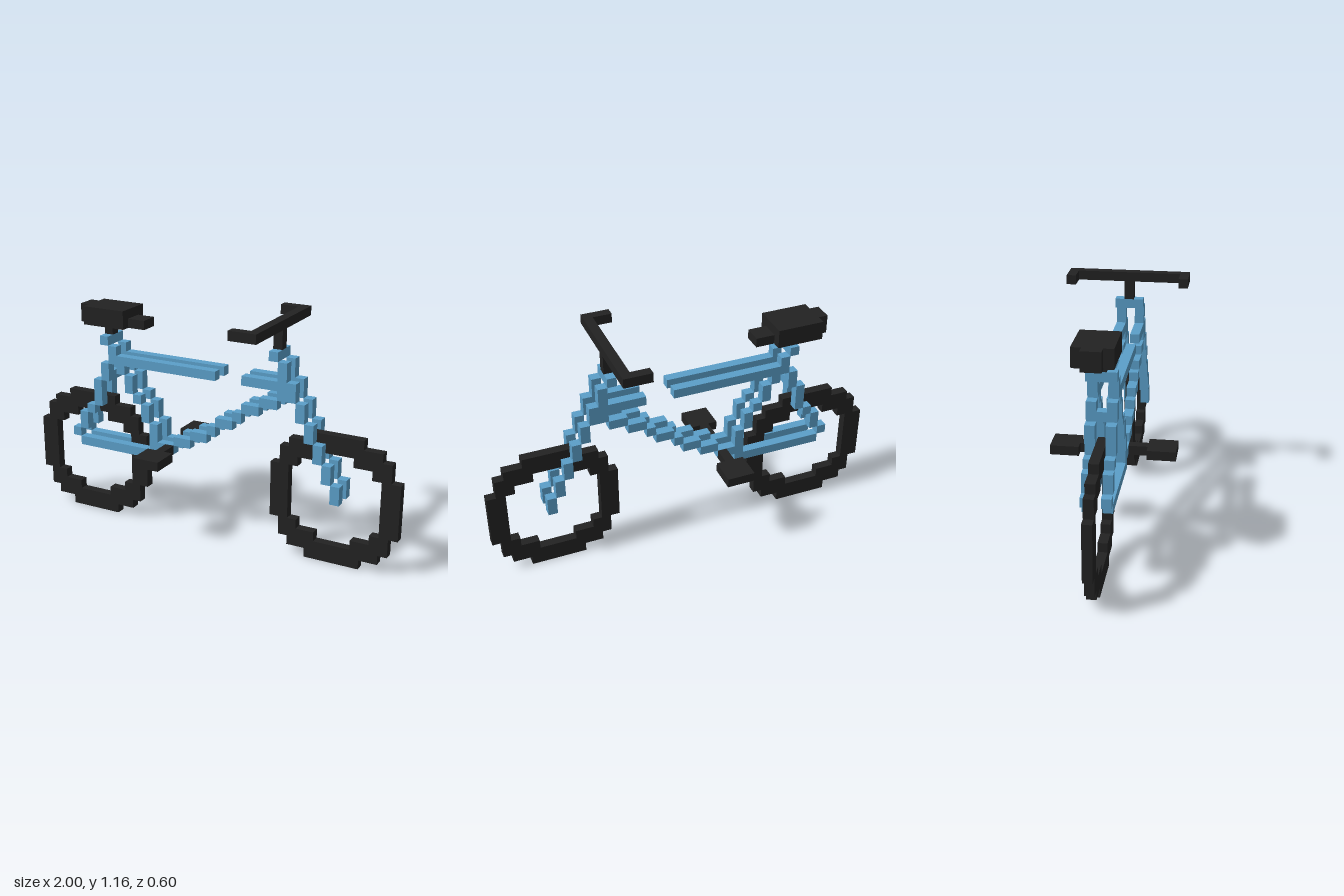
import * as THREE from 'three';

const U = 2 / 43; // one block

const blue = new THREE.MeshStandardMaterial({ color: 0x5b9fc9 });
blue.name = 'frameBlue';
const black = new THREE.MeshStandardMaterial({ color: 0x222222 });
black.name = 'rubberBlack';

// Box filling inclusive block ranges: i along x (0-42), j up (0-24), k along z (-6..6)
function block(parent, name, mat, i0, i1, j0, j1, k0, k1) {
  const geo = new THREE.BoxGeometry((i1 - i0 + 1) * U, (j1 - j0 + 1) * U, (k1 - k0 + 1) * U);
  const mesh = new THREE.Mesh(geo, mat);
  mesh.position.set(-1 + ((i0 + i1 + 1) / 2) * U, ((j0 + j1 + 1) / 2) * U, ((k0 + k1) / 2) * U);
  mesh.name = name;
  parent.add(mesh);
}

function part(parent, name) {
  const g = new THREE.Group();
  g.name = name;
  parent.add(g);
  return g;
}

// Blocky ring, 14 blocks across: [first row, last row, outer start, hole start]
function wheel(parent, name, i0) {
  const g = part(parent, name);
  const rows = [[0, 0, 4, 7], [1, 1, 2, 7], [2, 2, 1, 5], [3, 3, 1, 3], [4, 9, 0, 2],
    [10, 10, 1, 3], [11, 11, 1, 5], [12, 12, 2, 7], [13, 13, 4, 7]];
  for (const [j0, j1, outer, hole] of rows) {
    if (hole === 7) {
      block(g, 'tyre', black, i0 + outer, i0 + 13 - outer, j0, j1, 0, 0);
    } else {
      block(g, 'tyre', black, i0 + outer, i0 + hole - 1, j0, j1, 0, 0);
      block(g, 'tyre', black, i0 + 14 - hole, i0 + 13 - outer, j0, j1, 0, 0);
    }
  }
}

// Stepped tubes as runs [i0, i1, j0, j1], doubled on both sides of the wheels
const tubes = {
  fork: [[36, 36, 7, 8], [35, 35, 9, 10], [34, 34, 11, 12], [33, 33, 13, 14], [32, 32, 15, 16]],
  headTube: [[30, 31, 17, 18], [30, 30, 19, 20]],
  topTube: [[11, 22, 18, 18], [26, 29, 18, 18]],
  downTube: [[16, 17, 9, 9], [18, 19, 10, 10], [20, 21, 11, 11], [22, 22, 12, 12],
    [23, 24, 13, 13], [25, 25, 14, 14], [26, 27, 15, 15], [28, 29, 16, 16]],
  seatTube: [[9, 9, 20, 20], [10, 10, 18, 19], [11, 11, 17, 17], [12, 12, 15, 16],
    [13, 13, 14, 14], [14, 14, 12, 13], [15, 15, 9, 11]],
  seatStay: [[9, 9, 16, 17], [8, 8, 13, 15], [7, 7, 12, 12], [6, 6, 10, 11], [5, 5, 9, 9]],
  chainStay: [[6, 15, 8, 8]],
};

export function createModel() {
  const bike = new THREE.Group();
  bike.name = 'bicycle';

  wheel(bike, 'rearWheel', 0);
  wheel(bike, 'frontWheel', 29);

  // Frame
  const frame = part(bike, 'frame');
  for (const [name, runs] of Object.entries(tubes)) {
    const tube = part(frame, name);
    for (const k of [-1, 1]) {
      for (const [i0, i1, j0, j1] of runs) block(tube, name + 'Step', blue, i0, i1, j0, j1, k, k);
    }
  }
  // Bridges between the two sides
  block(frame, 'headsetBridge', blue, 29, 29, 21, 21, -1, 1);
  block(frame, 'seatClampBridge', blue, 9, 9, 20, 20, 0, 0);
  block(frame, 'stayBridge', blue, 9, 9, 16, 16, 0, 0);
  block(frame, 'bottomBridge', blue, 15, 15, 8, 8, 0, 0);

  // Saddle
  const saddle = part(bike, 'saddle');
  block(saddle, 'seatPost', black, 9, 9, 21, 21, 0, 0);
  block(saddle, 'saddleBody', black, 7, 11, 22, 23, -2, 1);
  block(saddle, 'saddleBack', black, 6, 6, 22, 23, -1, 0);
  block(saddle, 'saddleNose', black, 12, 13, 22, 22, -1, 0);

  // Handlebar
  const bar = part(bike, 'handlebar');
  block(bar, 'stem', black, 29, 29, 22, 23, 0, 0);
  block(bar, 'crossbar', black, 29, 29, 24, 24, -6, 6);
  for (const k of [-6, 6]) block(bar, 'grip', black, 27, 28, 24, 24, k, k);

  // Pedals
  const pedals = part(bike, 'pedals');
  for (const s of [-1, 1]) {
    block(pedals, 'pedalAxle', black, 17, 17, 9, 9, s * 2.5 - 0.5, s * 2.5 + 0.5);
    block(pedals, 'pedal', black, 16, 18, 9, 9, s * 5 - 1, s * 5 + 1);
  }
  return bike;
}
